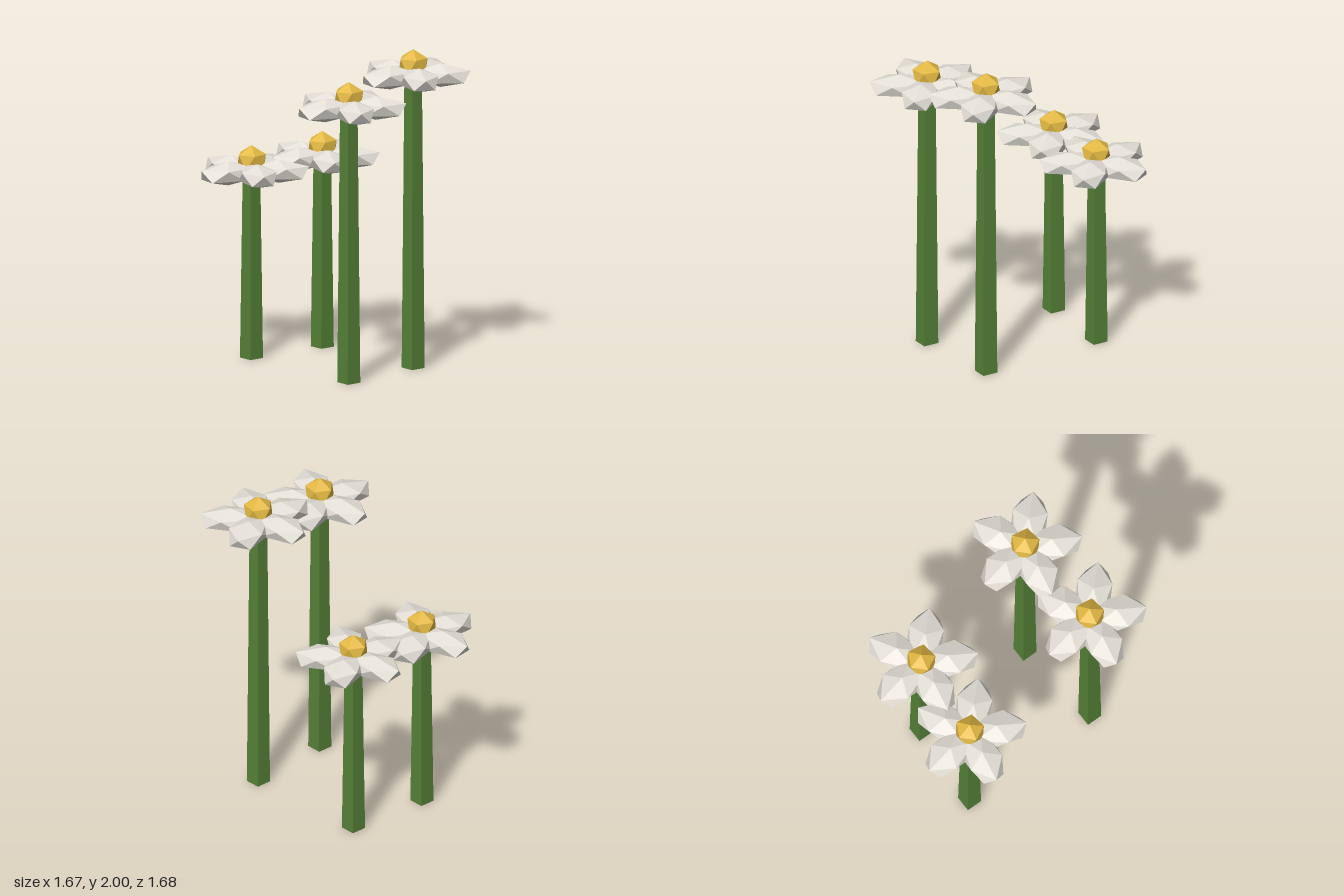
import * as THREE from 'three';

const material = (color) => new THREE.MeshStandardMaterial({ color, flatShading: true });

// Icosahedron standing on one corner, with an upper ring corner pointing to +x
function uprightIcosahedron(rx, ry, rz) {
  return new THREE.IcosahedronGeometry(1, 0)
    .rotateZ(-Math.atan(2 / (1 + Math.sqrt(5))))
    .scale(rx, ry, rz);
}

export function createModel() {
  const green = material(0x578339);
  const white = material(0xe4e0d8);
  const yellow = material(0xe2b843);

  const petalGeometry = uprightIcosahedron(0.21, 0.074, 0.127).translate(0.167, 0, 0);
  const centreGeometry = uprightIcosahedron(0.1, 0.1, 0.1);

  function flower(x, z, top) {
    const group = new THREE.Group();
    group.name = 'flower';
    group.position.set(x, 0, z);
    const add = (name, geometry, mat, y) => {
      const mesh = new THREE.Mesh(geometry, mat);
      mesh.name = name;
      mesh.position.y = y;
      group.add(mesh);
      return mesh;
    };

    // Square tapering stem, corners on the axes
    const height = top - 0.16;
    add('stem', new THREE.CylinderGeometry(0.054, 0.071, height, 4), green, height / 2);

    // Five flattened petals around the centre
    for (let i = 0; i < 5; i++) {
      add('petal', petalGeometry, white, height).rotation.y = (i * Math.PI * 2) / 5;
    }
    add('flowerCentre', centreGeometry, yellow, top - 0.1);
    return group;
  }

  // x, z and top height of each flower
  const model = new THREE.Group();
  model.name = 'flowers';
  for (const [x, z, top] of [
    [-0.535, -0.147, 1.335],
    [-0.132, -0.507, 1.353],
    [0.123, 0.5, 1.886],
    [0.478, 0.047, 2],
  ]) model.add(flower(x, z, top));
  return model;
}
